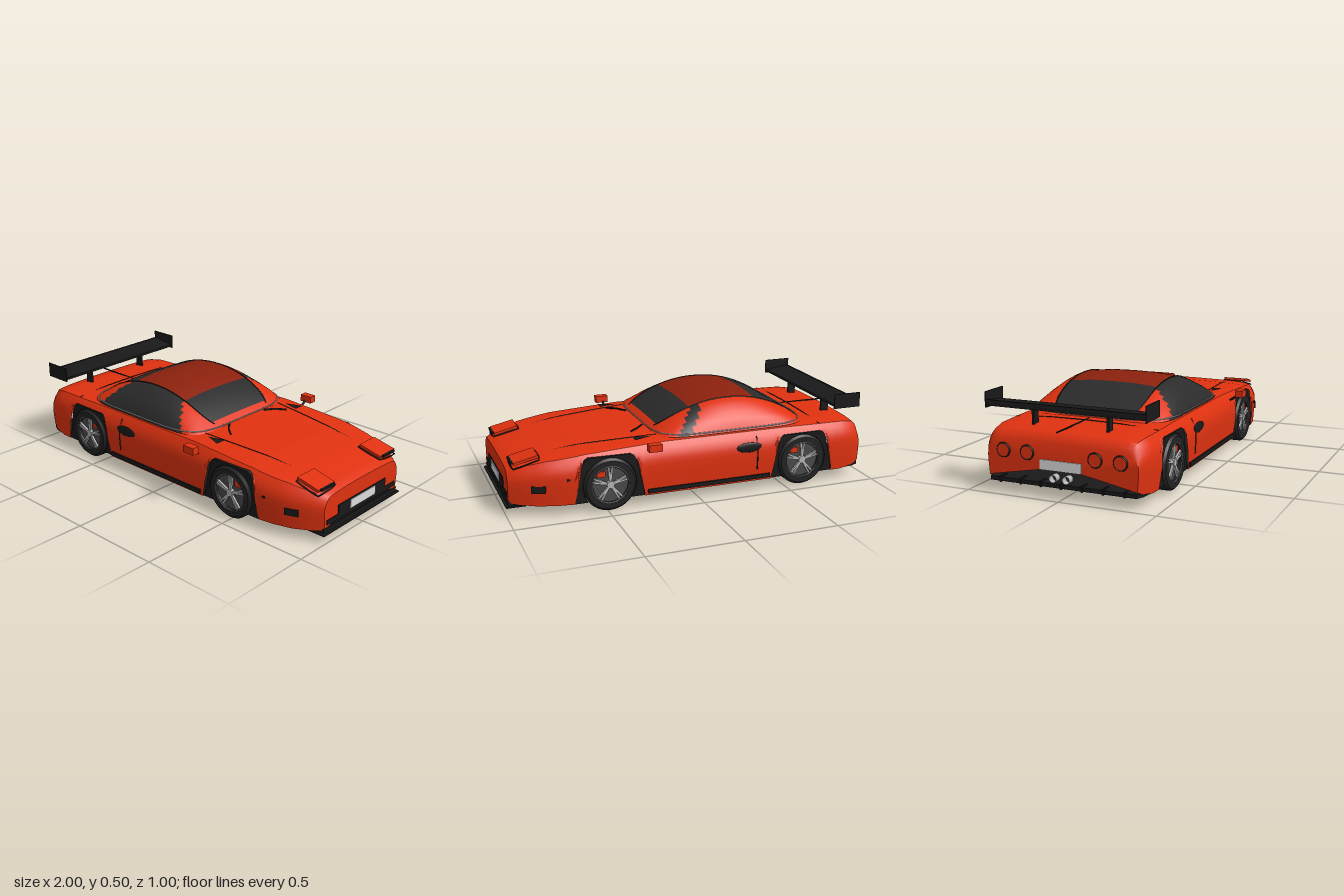
import * as THREE from 'three';
import { toCreasedNormals } from 'three/addons/utils/BufferGeometryUtils.js';

const mat = (name, color, side = THREE.FrontSide) => new THREE.MeshStandardMaterial({ name, color, side });

// piecewise linear lookup in a table of [key, value]
function look(t, x) {
  if (x <= t[0][0]) return t[0][1];
  for (let i = 1; i < t.length; i++) {
    if (x <= t[i][0]) return THREE.MathUtils.mapLinear(x, t[i - 1][0], t[i][0], t[i - 1][1], t[i][1]);
  }
  return t[t.length - 1][1];
}

// body rules: plan half width, top line, bottom line, side bulge, deck crown
const WIDTH = [[-.967, .4], [-.93, .418], [-.85, .43], [-.7, .435], [.55, .435], [.65, .43], [.75, .415], [.85, .385], [.93, .345], [.985, .31]];
const TOP = [[-.967, .27], [-.955, .3], [-.93, .322], [-.85, .334], [-.5, .34], [.2, .34], [.4, .33], [.6, .319], [.8, .295], [.95, .263], [.985, .247]];
const BOTTOM = [[-.967, .085], [-.93, .07], [-.85, .055], [.9, .055], [.985, .065]];
const BULGE = [[0, .98], [.35, .995], [.55, 1], [.7, .995], [.85, .965], [.95, .925], [1, .9]];
const CROWN = [[0, 0], [.4, -.002], [.7, -.006], [.82, -.01], [.9, -.016]];
const ARCH = [[0, .29], [.11, .29], [.13, .28], [.145, .25], [.185, .056]];
const AXLES = [-.6, .485];
const skinY = (x, z) => look(TOP, x) + look(CROWN, Math.abs(z) / look(WIDTH, x));
const skinZ = (x, y) => {
  const b = look(BOTTOM, x);
  return look(WIDTH, x) * look(BULGE, (y - b) / (look(TOP, x) - .016 - b));
};

// surface through cross-sections, with a material slot for each cell
function loft(rows, slot = () => 0) {
  const n = rows[0].length, groups = [];
  for (let i = 0; i < rows.length - 1; i++) {
    for (let j = 0; j < n - 1; j++) {
      const a = i * n + j, b = a + n;
      (groups[slot(i, j)] ??= []).push(a, b, b + 1, a, b + 1, a + 1);
    }
  }
  const g = new THREE.BufferGeometry();
  g.setAttribute('position', new THREE.Float32BufferAttribute(rows.flat(2), 3));
  g.setIndex(groups.flat());
  let start = 0;
  groups.forEach((list, k) => { g.addGroup(start, list.length, k); start += list.length; });
  return toCreasedNormals(g, .6);
}

export function createModel() {
  const car = new THREE.Group();
  const red = mat('red paint', 0xe03210, THREE.DoubleSide);
  const roofRed = mat('dark red roof', 0x8c210d);
  const glass = mat('dark glass', 0x2b2b2b);
  const black = mat('black trim', 0x191919, THREE.DoubleSide);
  const tyreMat = mat('tyre rubber', 0x222222);
  const silver = mat('silver', 0xb4b4b4);
  const white = mat('plate white', 0xdcdcdc);
  const discGrey = mat('disc grey', 0x4a4a4a);

  const add = (name, geo, m, x = 0, y = 0, z = 0, parent = car) => {
    const mesh = new THREE.Mesh(geo, m);
    mesh.name = name;
    mesh.position.set(x, y, z);
    parent.add(mesh);
    return mesh;
  };
  const box = (name, m, x, y, z, sx, sy, sz, parent) => add(name, new THREE.BoxGeometry(sx, sy, sz), m, x, y, z, parent);
  const line = (name, pts, m = black, r = .0035, closed = false) => add(name, new THREE.TubeGeometry(
    new THREE.CatmullRomCurve3(pts.map(p => new THREE.Vector3(...p)), closed, 'catmullrom', .1), pts.length * 4, r, 5, closed), m);

  // body shell with open wheel arches
  const xs = [...WIDTH, ...TOP].map(p => p[0]).concat([-.25, 0]);
  for (const c of AXLES) for (const d of [.05, .11, .13, .145, .165, .185, .187]) xs.push(c - d, c + d);
  const stations = [...new Set(xs)].sort((a, b) => a - b);
  const rows = stations.map(x => {
    let b = look(BOTTOM, x);
    for (const c of AXLES) if (Math.abs(x - c) < .1855) b = look(ARCH, Math.abs(x - c));
    const edge = look(TOP, x) - .016, half = [];
    for (let k = 0; k <= 10; k++) {
      const y = THREE.MathUtils.lerp(b, edge, k / 10);
      half.push([x, y, skinZ(x, y)]);
    }
    for (const f of [.82, .7, .4]) half.push([x, skinY(x, f * look(WIDTH, x)), f * look(WIDTH, x)]);
    return [...half, [x, look(TOP, x), 0], ...half.map(([a, y, z]) => [a, y, -z]).reverse()];
  });
  const cap = (row, x) => row.map(() => [x, .16, 0]);
  add('bodyShell', loft([cap(rows[0], -.97), ...rows, cap(rows.at(-1), .985)]), red);

  // cabin dome: painted shell, roof panel and windows
  const MID = -.225, HALF = .435;
  const baseZ = t => .395 * Math.pow(Math.max(0, 1 - t ** 6), 1 / 6);
  const SIDE = [[1, 0], [.975, .14], [.925, .38], [.86, .56], [.77, .74], [.7, .84], [.62, .91], [.3, .985]];
  const N = 48;
  const dome = [];
  for (let i = 0; i <= N; i++) {
    const t = -Math.cos(Math.PI * i / N), x = MID + HALF * t, h = .163 * (1 - Math.abs(t) ** 2.1);
    const half = SIDE.map(([f, v]) => [x, .333 + h * v, f * baseZ(t)]);
    dome.push([...half, [x, .333 + h, 0], ...half.map(([a, y, z]) => [a, y, -z]).reverse()]);
  }
  const domeSlot = (i, j) => {
    const x = (dome[i][0][0] + dome[i + 1][0][0]) / 2, k = Math.min(j, 15 - j);
    if (k >= 6) return x > -.64 && x < -.38 || x > 0 && x < .165 ? 1 : x >= -.38 && x <= 0 ? 2 : 0;
    const front = .1 - .02 * k, rear = j < 8 ? -.55 + .028 * k : front - .07;
    return x > rear && x < front ? 1 : 0;
  };
  add('cabin', loft(dome, domeSlot), [red, glass, roofRed]);
  const rim = [];
  for (let i = 0; i < 48; i++) {
    const a = i / 48 * Math.PI * 2, c = Math.cos(a), s = Math.sin(a), p = v => Math.sign(v) * Math.abs(v) ** .4;
    rim.push([MID + .43 * p(c), .345, .394 * p(s)]);
  }
  line('cabinTrim', rim, silver, .0035, true);
  for (const s of [1, -1]) {
    line('roofSeam', dome.slice(6, -6).map(r => [r[0][0], r[s > 0 ? 6 : 10][1], r[s > 0 ? 6 : 10][2]]));
  }

  // floor and inner wheel wells
  const plan = [];
  for (const x of stations) plan.push([x, AXLES.some(c => Math.abs(x - c) < .186) ? .31 : look(WIDTH, x) * .97]);
  const floor = new THREE.Shape([...plan, ...plan.map(([x, w]) => [x, -w]).reverse()].map(p => new THREE.Vector2(...p)));
  const floorMesh = add('floor', new THREE.ExtrudeGeometry(floor, { depth: .02, bevelEnabled: false }), black, 0, .076, 0);
  floorMesh.rotation.x = Math.PI / 2;

  // arch liner: the arch outline less the wheel circle
  const liner = new THREE.Shape();
  liner.moveTo(-.185, .056);
  for (const [x, y] of [[-.145, .25], [-.13, .28], [-.11, .289], [.11, .289], [.13, .28], [.145, .25], [.185, .056]]) liner.lineTo(x, y);
  const low = Math.asin(.084 / .142);
  liner.absarc(0, .14, .142, -low, Math.PI + low, false);
  const linerGeo = new THREE.ExtrudeGeometry(liner, { depth: .115, bevelEnabled: false });

  // wheels
  const tyreGeo = new THREE.LatheGeometry([[.098, -.055], [.128, -.055], [.14, -.042], [.14, .042], [.128, .055], [.1, .055], [.098, .025]]
    .map(p => new THREE.Vector2(...p)), 40).rotateX(Math.PI / 2);
  const discGeo = new THREE.CylinderGeometry(.099, .099, .06, 32).rotateX(Math.PI / 2);
  const hubGeo = new THREE.CylinderGeometry(.02, .02, .02, 16).rotateX(Math.PI / 2);
  const ringGeo = new THREE.TorusGeometry(.097, .005, 6, 40);
  for (const c of AXLES) {
    box('wheelWell', black, c, .17, 0, .29, .2, .61);
    for (const s of [1, -1]) {
      add('archLiner', linerGeo, black, c, 0, s > 0 ? .305 : -.42);
      const wheel = new THREE.Group();
      wheel.name = 'wheel';
      wheel.position.set(c, .14, s * .378);
      if (s < 0) wheel.rotation.y = Math.PI;
      car.add(wheel);
      add('tyre', toCreasedNormals(tyreGeo, .6), tyreMat, 0, 0, 0, wheel);
      add('brakeDisc', discGeo, discGrey, 0, 0, 0, wheel);
      add('rimRing', ringGeo, discGrey, 0, 0, .05, wheel);
      add('hub', hubGeo, silver, 0, 0, .044, wheel);
      box('brakeCaliper', red, s * .045, .055, .033, .045, .03, .012, wheel);
      for (let i = 0; i < 5; i++) {
        for (const o of [-1, 1]) {
          const spoke = new THREE.Group();
          spoke.rotation.z = i * Math.PI * .4 + .3 + o * .1;
          wheel.add(spoke);
          box('spoke', silver, .055, 0, .044, .082, .01, .012, spoke);
        }
      }
    }
  }

  // details on both flanks
  for (const s of [1, -1]) {
    box('sideSkirt', black, -.06, .078, s * .43, .69, .022, .014);
    line('doorSeam', [.12, .18, .24, .3].map(y => [-.33, y, s * skinZ(-.33, y)]));
    add('doorScoop', new THREE.SphereGeometry(1, 20, 12), black, -.28, .248, s * .432).scale.set(.072, .028, .008);
    const lamp = box('sideLamp', black, .845, .145, s * skinZ(.845, .145), .072, .035, .01);
    lamp.rotation.y = s * .36;
    box('sideMarker', black, .7, .19, s * skinZ(.7, .19), .016, .01, .008);
    box('mirror', red, .265, .328, s * .478, .07, .038, .042);
    line('mirrorStalk', [[.26, .285, s * .42], [.26, .318, s * .465]], black, .007);

    // bonnet seams, vents, wipers and headlamp lids
    line('bonnetSeam', [.17, .4, .6, .82].map((x, i) => [x, skinY(x, .29), s * (.295 - i * .022)]));
    const vent = new THREE.Shape([[.23, .315], [.325, .29], [.325, .35]].map(([x, z]) => new THREE.Vector2(x, z)));
    const ventMesh = add('bonnetVent', new THREE.ShapeGeometry(vent), black, 0, .334, 0);
    ventMesh.rotation.x = Math.PI / 2;
    ventMesh.scale.y = s;
    line('wiper', [[.22, .345, s * .14], [.26, .347, s * .19], [.31, .344, s * .23]], black, .005);
    const corner = (x, z) => [x, skinY(x, z) + .002, s * z];
    line('headlampSeam', [corner(.82, .19), corner(.82, .325), corner(.955, .325), corner(.955, .19)], black, .004, true);
    const lid = box('headlampLid', red, .888, .284, s * .258, .13, .014, .13);
    lid.rotation.z = -.22;
    box('headlampSlot', black, .958, .273, s * .258, .012, .012, .1);

    // tail lamps, exhausts
    for (const z of [.18, .31]) {
      add('tailLampRim', new THREE.TorusGeometry(.033, .005, 8, 28).rotateY(Math.PI / 2), black, -.969, .215, s * z);
      add('tailLamp', new THREE.CylinderGeometry(.031, .031, .008, 28).rotateZ(Math.PI / 2), red, -.97, .215, s * z);
    }
    add('exhaust', new THREE.CylinderGeometry(.019, .019, .04, 16, 1, true).rotateZ(Math.PI / 2), silver, -.967, .105, s * .035).material.side = THREE.DoubleSide;

    // rear wing ends and posts
    box('wingEndPlate', black, -.862, .445, s * .423, .156, .08, .006);
    box('wingPost', black, -.85, .37, s * .2, .045, .09, .012);
  }

  // rear wing and tail
  const wing = box('wingBoard', black, -.865, .428, 0, .145, .014, .84);
  wing.rotation.z = -.13;
  box('wingLip', black, -.93, .43, 0, .008, .03, .84);
  box('rearPlate', white, -.97, .165, 0, .008, .05, .22);
  for (let i = -3; i <= 3; i++) box('diffuserFin', black, -.945, .068, i * .11, .06, .03, .008);
  line('bootSeam', [-.39, -.2, 0, .2, .39].map(z => [-.715, skinY(-.715, z), z]));
  box('tailSpine', black, -.835, .336, 0, .33, .006, .006);

  // nose
  box('noseGrille', black, .986, .127, 0, .008, .075, .4);
  box('frontPlate', white, .991, .135, 0, .006, .048, .212);
  box('lowerIntake', black, .986, .102, 0, .007, .025, .58);
  box('chin', black, .968, .062, 0, .04, .025, .62);
  box('splitter', black, .95, .046, 0, .1, .006, .65);

  return car;
}
